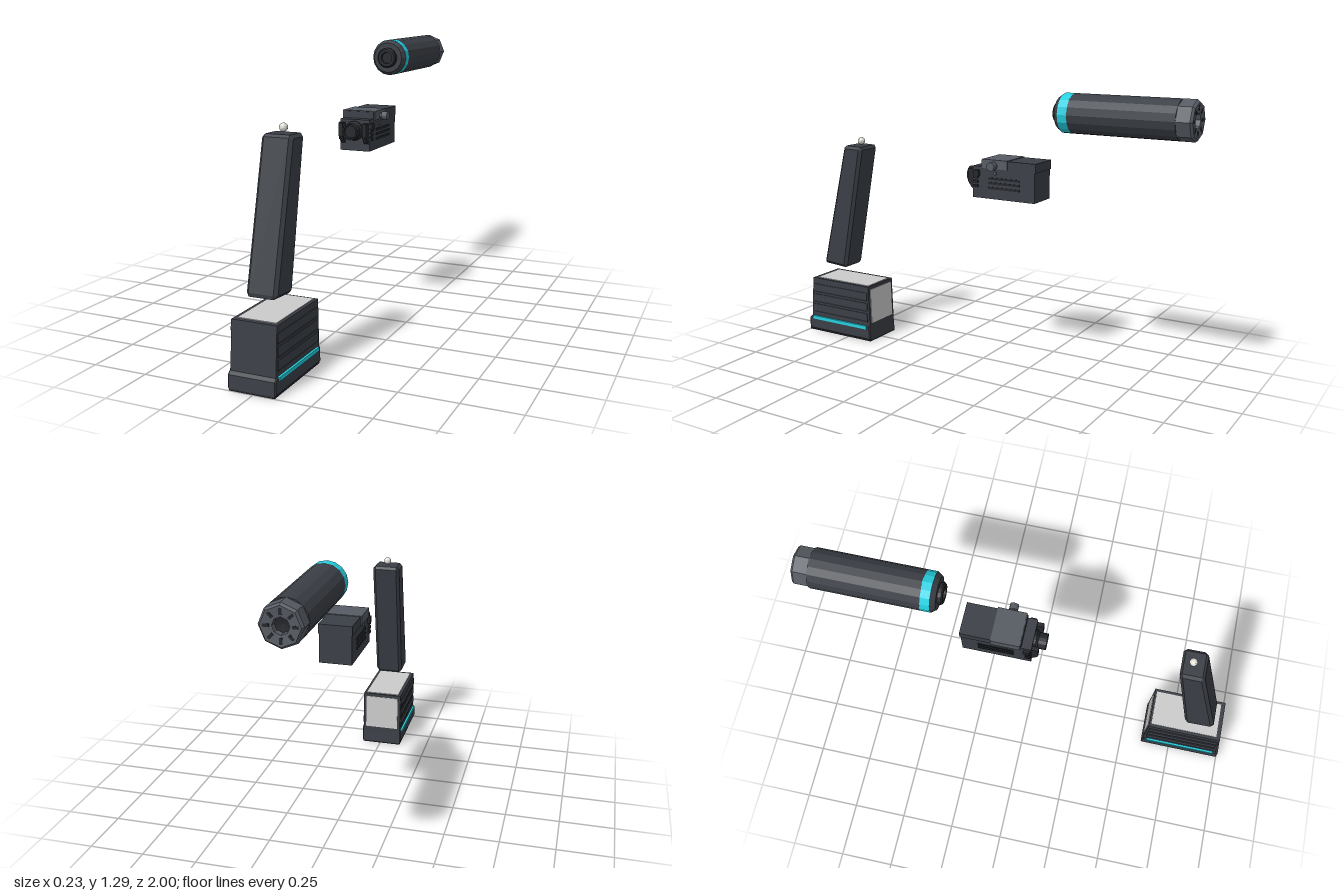
import * as THREE from 'three';

const material = (color) => new THREE.MeshStandardMaterial({ color, flatShading: true });
const dark = material(0x3b3f46);
const darker = material(0x25272c);
const steel = material(0x565b63);
const teal = material(0x25cfe0);
const grey = material(0xcccccc);
const pale = material(0xe6e3dc);

function add(parent, name, geometry, mat, x = 0, y = 0, z = 0) {
  const mesh = new THREE.Mesh(geometry, mat);
  mesh.name = name;
  mesh.position.set(x, y, z);
  parent.add(mesh);
  return mesh;
}

// Box given by its limits on each axis
function box(parent, name, mat, [x0, x1], [y0, y1], [z0, z1]) {
  return add(parent, name, new THREE.BoxGeometry(x1 - x0, y1 - y0, z1 - z0), mat,
    (x0 + x1) / 2, (y0 + y1) / 2, (z0 + z1) / 2);
}

// Turned part along z from [radius, z] points, given from back to front
function turned(parent, name, mat, points, sides, x, y) {
  const geometry = new THREE.LatheGeometry(points.map(([r, z]) => new THREE.Vector2(r, z)), sides);
  geometry.rotateX(Math.PI / 2);
  return add(parent, name, geometry, mat, x, y, 0);
}

// Side outline of [z, y] points extruded across x, with chamfered edges
function sideSlab(parent, name, mat, outline, x0, x1, bevel) {
  const shape = new THREE.Shape(outline.map(([z, y]) => new THREE.Vector2(-z, y)));
  const geometry = new THREE.ExtrudeGeometry(shape, {
    depth: x1 - x0 - 2 * bevel, bevelEnabled: bevel > 0, bevelSize: bevel,
    bevelThickness: bevel, bevelOffset: -bevel, bevelSegments: 1,
  });
  geometry.rotateY(Math.PI / 2);
  return add(parent, name, geometry, mat, x0 + bevel, 0, 0);
}

function createSuppressor() {
  const group = new THREE.Group();
  group.name = 'suppressor';
  const x = -0.007, y = 1.2, r = 0.087;
  turned(group, 'tube', dark, [[0, -0.93], [r, -0.93], [r, -0.45], [0, -0.45]], 16, x, y);
  turned(group, 'accentRing', teal, [[0, -0.452], [r, -0.452], [r, -0.408], [0, -0.408]], 16, x, y);
  turned(group, 'frontCollar', dark, [[r, -0.408], [0.072, -0.387], [0, -0.387]], 16, x, y);
  turned(group, 'threadedMount', darker,
    [[0.048, -0.39], [0.048, -0.372], [0.042, -0.366], [0.028, -0.366], [0.026, -0.38], [0, -0.38]], 16, x, y);
  // Faceted end cap with a recessed bore
  turned(group, 'endCap', steel,
    [[0, -0.965], [0.032, -0.97], [0.034, -0.995], [0.078, -1], [r, -0.99], [r, -0.928], [0, -0.928]], 8, x, y);
  turned(group, 'bore', darker, [[0, -0.968], [0.032, -0.972]], 16, x, y);
  for (let i = 0; i < 8; i++) {
    const a = (i / 8) * Math.PI * 2;
    const slot = add(group, 'capSlot', new THREE.BoxGeometry(0.026, 0.012, 0.004), darker,
      x + Math.cos(a) * 0.056, y + Math.sin(a) * 0.056, -0.997);
    slot.rotation.z = a;
  }
  return group;
}

function createLight() {
  const group = new THREE.Group();
  group.name = 'weaponLight';
  box(group, 'housing', dark, [-0.08, 0.066], [0.8, 0.945], [-0.3, 0.015]);
  box(group, 'upperHousing', dark, [-0.083, 0.068], [0.935, 0.977], [-0.304, -0.03]);
  box(group, 'railClamp', steel, [-0.089, 0.073], [0.938, 0.98], [-0.165, -0.035]);
  // Clamp screw with ribbed head
  const screw = add(group, 'clampScrew', new THREE.CylinderGeometry(0.012, 0.012, 0.04, 8), steel, 0.075, 0.954, -0.1);
  const head = add(group, 'screwHead', new THREE.CylinderGeometry(0.02, 0.02, 0.028, 12), steel, 0.097, 0.954, -0.1);
  screw.rotation.z = head.rotation.z = Math.PI / 2;
  // Lens barrel
  turned(group, 'lensBarrel', darker,
    [[0.045, 0.01], [0.045, 0.025], [0.037, 0.035], [0.037, 0.072], [0.03, 0.072], [0.028, 0.06], [0, 0.06]],
    16, -0.008, 0.893);
  for (const side of [-1, 1]) {
    const cx = -0.007 + side * 0.073;
    // Cooling vents
    for (const y of [0.893, 0.872, 0.85]) {
      box(group, 'vent', darker, [cx - 0.003, cx + 0.003], [y - 0.005, y + 0.005], [-0.225, -0.065]);
    }
    const pin = add(group, 'housingPin', new THREE.CylinderGeometry(0.008, 0.008, 0.012, 10), steel, cx, 0.918, -0.1);
    pin.rotation.z = Math.PI / 2;
    // Toggle beside the lens, with grip ribs
    const tx = -0.007 + side * 0.058;
    sideSlab(group, 'toggle', darker,
      [[0.01, 0.83], [0.028, 0.845], [0.045, 0.87], [0.045, 0.93], [0.01, 0.93]], tx - 0.01, tx + 0.01, 0);
    for (let i = 0; i < 4; i++) {
      const y = 0.855 + i * 0.02;
      box(group, 'toggleRib', darker, [cx - 0.008, cx + 0.008], [y - 0.006, y + 0.006], [-0.012, 0.012]);
    }
    box(group, 'gripEar', darker, [cx - 0.011, cx + 0.011], [0.9, 0.928], [-0.02, 0.008]);
  }
  return group;
}

function createMagazine() {
  const group = new THREE.Group();
  group.name = 'magazine';
  sideSlab(group, 'magazineBody', dark,
    [[0.912, 0.362], [0.914, 0.378], [0.769, 0.968], [0.757, 0.979], [0.668, 0.977],
      [0.66, 0.963], [0.775, 0.367], [0.788, 0.353]], -0.074, 0.063, 0.014);
  add(group, 'topRound', new THREE.SphereGeometry(0.018, 12, 8), pale, -0.006, 1, 0.706);
  return group;
}

function createMagwell() {
  const group = new THREE.Group();
  group.name = 'baseBlock';
  const cx = -0.007;
  sideSlab(group, 'block', dark, [[0.985, 0.06], [0.968, 0.283], [0.615, 0.283], [0.608, 0.06]], -0.107, 0.093, 0);
  sideSlab(group, 'basePlate', dark,
    [[1, 0.008], [0.998, 0.066], [0.985, 0.078], [0.61, 0.078], [0.605, 0.008]], -0.113, 0.099, 0.005);
  box(group, 'floorPlate', darker, [-0.108, 0.094], [0, 0.012], [0.607, 0.998]);
  // Light panels on the top and back
  box(group, 'topPanel', grey, [-0.092, 0.079], [0.28, 0.286], [0.625, 0.948]);
  const back = add(group, 'backPanel', new THREE.BoxGeometry(0.172, 0.175, 0.006), grey, cx, 0.18, 0.612);
  back.rotation.x = 0.031;
  // Ribs and accent stripe on each side
  for (const side of [-1, 1]) {
    const sx = cx + side * 0.1;
    for (const y of [0.234, 0.18, 0.126]) {
      box(group, 'sideRib', dark, [sx - 0.004, sx + 0.004], [y - 0.018, y + 0.018], [0.622, 0.967]);
      box(group, 'ribGroove', darker, [sx - 0.002, sx + 0.002], [y - 0.027, y - 0.018], [0.622, 0.967]);
    }
    box(group, 'accentStripe', teal, [sx - 0.01, sx + 0.01], [0.062, 0.079], [0.628, 0.97]);
  }
  return group;
}

export function createModel() {
  const model = new THREE.Group();
  model.name = 'accessorySet';
  model.add(createSuppressor(), createLight(), createMagazine(), createMagwell());
  return model;
}
